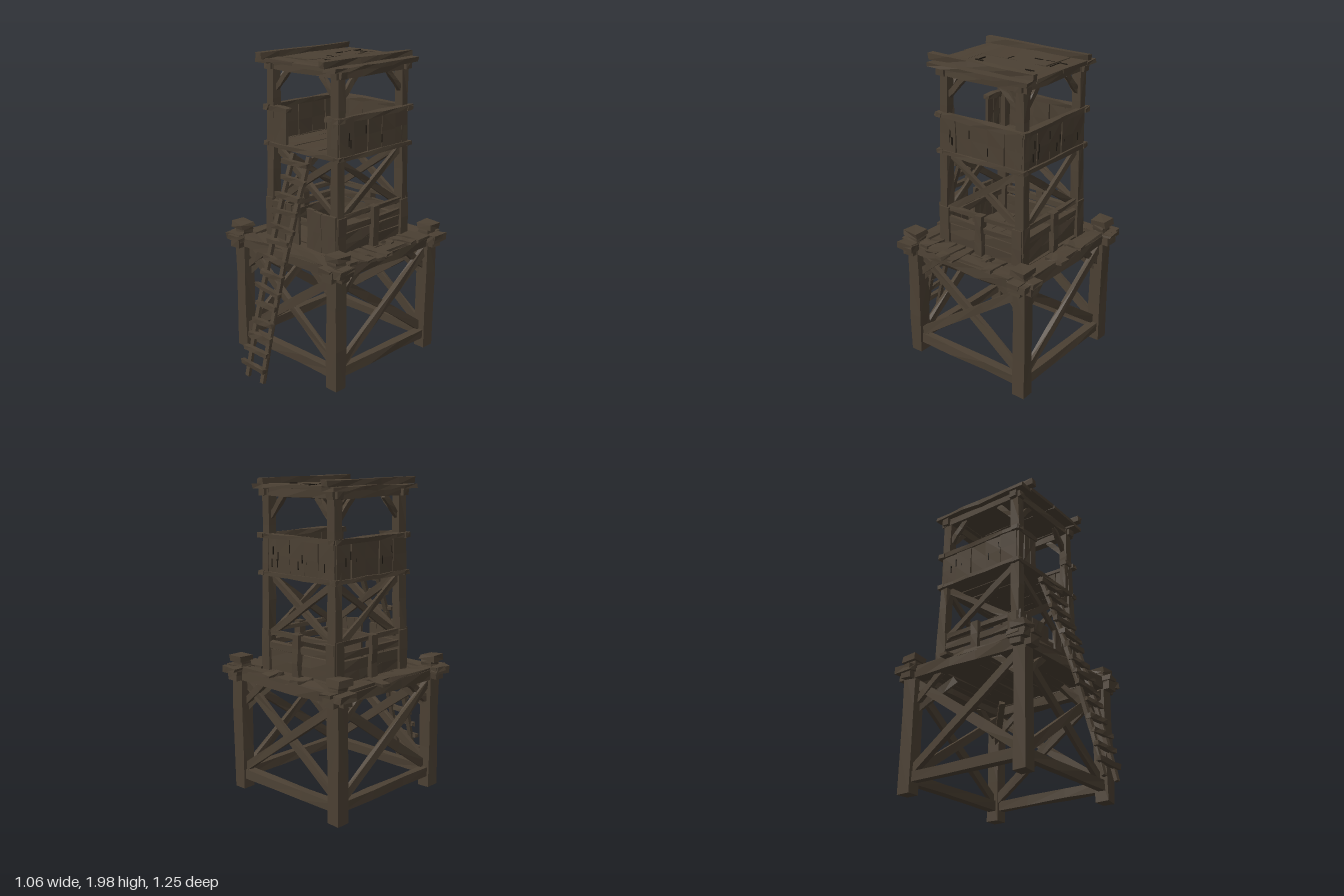
import * as THREE from 'three';

const CZ = -0.11; // centre of the lower frame in z
const TZ = -0.125; // centre of the upper tower in z

export function createModel() {
  const root = new THREE.Group();
  root.name = 'watchtower';
  const wood = new THREE.MeshStandardMaterial({ color: 0x4b4033, flatShading: true });
  wood.name = 'weathered wood';
  const crackMat = new THREE.MeshStandardMaterial({ color: 0x1f1a13, flatShading: true });
  crackMat.name = 'dark crack';

  let seed = 7;
  const rnd = () => (seed = (seed * 16807) % 2147483647) / 2147483647;
  const jit = (s) => (rnd() - 0.5) * 2 * s;
  const V = (x, y, z) => new THREE.Vector3(x, y, z);

  // Rough-hewn timber from a to b; each cross-section is nudged a little
  function beam(name, a, b, w, h, rough = 0.004, segs = 3) {
    const d = b.clone().sub(a);
    const g = new THREE.BoxGeometry(w, h, d.length(), 1, 1, segs);
    const p = g.attributes.position;
    const moved = new Map();
    for (let i = 0; i < p.count; i++) {
      const key = [p.getX(i), p.getY(i), p.getZ(i)].map((n) => n.toFixed(4)).join();
      if (!moved.has(key)) moved.set(key, [jit(rough), jit(rough), jit(rough)]);
      const m = moved.get(key);
      p.setXYZ(i, p.getX(i) + m[0], p.getY(i) + m[1], p.getZ(i) + m[2]);
    }
    g.computeVertexNormals();
    const mesh = new THREE.Mesh(g, wood);
    mesh.name = name;
    mesh.position.copy(a).add(b).multiplyScalar(0.5);
    if (Math.abs(d.y) > 0.95 * d.length()) mesh.up.set(0, 0, 1);
    mesh.lookAt(b);
    root.add(mesh);
    return mesh;
  }

  // Point on one of four sides: u along the side, o outward from the centre
  const at = (k, u, y, o, cz) =>
    [V(u, y, cz + o), V(o, y, cz - u), V(-u, y, cz - o), V(-o, y, cz + u)][k];

  // Row of upright planks on one side with uneven tops
  function planks(name, k, u0, u1, y0, y1, o, cz, n) {
    const step = (u1 - u0) / n;
    for (let i = 0; i < n; i++) {
      const u = u0 + step * (i + 0.5);
      const off = o + jit(0.004);
      const across = k % 2 === 0;
      beam(name, at(k, u, y0, off, cz), at(k, u + jit(0.003), y1 + jit(0.008), off, cz),
        across ? step * 0.98 : 0.02, across ? 0.02 : step * 0.98, 0.003, 2);
    }
  }

  // Lower frame: posts, sills, cross braces and knee braces
  for (const sx of [-1, 1]) for (const sz of [-1, 1]) {
    const x = sx * 0.42, z = CZ + sz * 0.42;
    beam('basePost', V(x, 0.005, z), V(x, 0.8, z), 0.085, 0.085);
    beam('cornerPlate', V(x - 0.07 + sx * 0.03, 0.785, z + sz * 0.015), V(x + 0.07 + sx * 0.03, 0.785, z + sz * 0.015), 0.125, 0.045, 0.008);
    beam('capNeck', V(x, 0.79, z), V(x, 0.85, z), 0.08, 0.08);
    beam('capBlock', V(x + sx * 0.01, 0.845, z), V(x + sx * 0.01, 0.88, z), 0.105, 0.105, 0.007, 1);
    // Diagonal brace from the corner in under the deck
    beam('deckBrace', V(x, 0.52, z), V(sx * 0.24, 0.75, CZ + sz * 0.24), 0.04, 0.04);
  }
  for (let k = 0; k < 4; k++) {
    beam('sillBeam', at(k, -0.42, 0.105, 0.42, CZ), at(k, 0.42, 0.105, 0.42, CZ), 0.05, 0.06);
    beam('lowerCrossBrace', at(k, -0.4, 0.14, 0.425, CZ), at(k, 0.4, 0.71, 0.425, CZ), 0.03, 0.055);
    beam('lowerCrossBrace', at(k, 0.4, 0.14, 0.4, CZ), at(k, -0.4, 0.71, 0.4, CZ), 0.03, 0.055);
    beam('deckBeam', at(k, -0.5, 0.76, 0.42, CZ), at(k, 0.5, 0.76, 0.42, CZ), 0.08, 0.065, 0.006, 5);
    beam('deckEdge', at(k, -0.52, 0.797, 0.415, CZ), at(k, 0.52, 0.797, 0.415, CZ), 0.085, 0.025, 0.007, 6);
    for (const s of [-1, 1])
      beam('kneeBrace', at(k, s * 0.39, 0.59, 0.41, CZ), at(k, s * 0.21, 0.74, 0.41, CZ), 0.035, 0.04);
  }

  // Deck boards with gaps outside the tower on the left edge
  for (let i = 0; i < 10; i++) {
    const z = -0.485 + i * 0.083;
    beam('deckBoard', V(-0.44, 0.785 + jit(0.004), z), V(0.345, 0.785, z + jit(0.008)), 0.079, 0.02, 0.004);
  }
  for (const [z, w, end] of [[-0.41, 0.12, 0.49], [-0.3, 0.055, 0.49], [-0.22, 0.04, 0.4], [-0.045, 0.05, 0.52],
    [0.025, 0.055, 0.53], [0.105, 0.07, 0.52], [0.2, 0.07, 0.47]])
    beam('looseBoard', V(0.31, 0.8, z), V(end, 0.81, z + jit(0.01)), w, 0.02, 0.006);
  beam('looseBoard', V(-0.51, 0.8, -0.22), V(-0.35, 0.8, -0.21), 0.06, 0.022, 0.008);
  beam('looseBoard', V(0.105, 0.815, -0.61), V(0.105, 0.815, -0.49), 0.07, 0.022, 0.006);
  beam('looseBoard', V(-0.12, 0.81, -0.59), V(-0.12, 0.81, -0.46), 0.06, 0.022, 0.006);

  // Tower posts, leaning slightly inward
  for (const sx of [-1, 1]) for (const sz of [-1, 1])
    beam('towerPost', V(sx * 0.29, 0.79, TZ + sz * 0.295), V(sx * 0.275, 1.92, TZ + sz * 0.28), 0.06, 0.06, 0.005, 5);

  // Lower enclosure: boarded front, fenced sides and back
  planks('frontBoard', 0, -0.315, -0.01, 0.8, 1.05, 0.325, TZ, 5);
  planks('frontBoard', 0, 0.06, 0.315, 0.8, 1.05, 0.325, TZ, 4);
  beam('frontRail', V(-0.3, 0.95, TZ + 0.3), V(0.3, 0.95, TZ + 0.3), 0.025, 0.04);
  for (let k = 1; k < 4; k++) {
    for (const y of [0.835, 0.895])
      beam('fenceBoard', at(k, -0.29, y, 0.295, TZ), at(k, 0.29, y + jit(0.01), 0.295, TZ), 0.02, 0.066, 0.005);
    beam('fenceRail', at(k, -0.3, 0.96, 0.3, TZ), at(k, 0.3, 0.965, 0.3, TZ), 0.03, 0.04);
    beam('fenceTopRail', at(k, -0.3, 1.035, 0.295, TZ), at(k, 0.3, 1.04, 0.295, TZ), 0.03, 0.03);
    beam('fencePost', at(k, 0, 0.8, 0.315, TZ), at(k, 0, 1.06, 0.315, TZ), 0.05, 0.05);
    for (const s of [-1, 1])
      planks('cornerBoard', k, s * 0.285 - 0.035, s * 0.285 + 0.035, 0.8, 1.05, 0.315, TZ, 1);
  }

  // Middle cross braces, lookout rails, knee braces under the roof
  for (let k = 0; k < 4; k++) {
    beam('upperCrossBrace', at(k, -0.27, 1.02, 0.29, TZ), at(k, 0.27, 1.385, 0.285, TZ), 0.025, 0.04);
    beam('upperCrossBrace', at(k, 0.27, 1.02, 0.27, TZ), at(k, -0.27, 1.385, 0.27, TZ), 0.025, 0.04);
    beam('lookoutSill', at(k, -0.33, 1.405, 0.305, TZ), at(k, 0.33, 1.405, 0.305, TZ), 0.045, 0.028, 0.004, 5);
    if (k > 0) {
      planks('lookoutBoard', k, -0.305, 0.305, 1.41, 1.63, 0.305, TZ, 5);
      beam('lookoutRail', at(k, -0.335, 1.635, 0.305, TZ), at(k, 0.335, 1.635, 0.305, TZ), 0.045, 0.03, 0.005, 5);
    }
    beam('roofBeam', at(k, -0.33, 1.9, 0.285, TZ), at(k, 0.33, 1.9, 0.285, TZ), 0.05, 0.05);
    for (const s of [-1, 1])
      beam('roofBrace', at(k, s * 0.26, 1.75, 0.28, TZ), at(k, s * 0.14, 1.88, 0.28, TZ), 0.025, 0.032);
  }
  // Lookout front with the ladder opening
  planks('lookoutFrontBoard', 0, -0.305, -0.13, 1.41, 1.63, 0.305, TZ, 3);
  planks('lookoutFrontBoard', 0, 0.22, 0.305, 1.41, 1.63, 0.305, TZ, 2);
  beam('lookoutRail', at(0, -0.335, 1.635, 0.305, TZ), at(0, -0.12, 1.635, 0.305, TZ), 0.045, 0.03);
  beam('lookoutRail', at(0, 0.21, 1.635, 0.305, TZ), at(0, 0.335, 1.635, 0.305, TZ), 0.045, 0.03);
  for (let i = 0; i < 6; i++) {
    const x = -0.25 + i * 0.1;
    beam('lookoutFloor', V(x, 1.405, TZ - 0.3), V(x, 1.405, TZ + 0.3), 0.098, 0.022, 0.003);
  }

  // Roof sheets, edge boards and long rails
  for (const [z0, z1] of [[-0.48, -0.355], [-0.36, 0.115], [0.11, 0.255]])
    for (const s of [-1, 1])
      beam('roofSheet', V(s * 0.125, 1.937 + jit(0.003), z0), V(s * 0.125, 1.937, z1), 0.25, 0.022, 0.004, 4);
  for (const s of [-1, 1]) {
    beam('roofEdge', V(s * 0.295, 1.93, -0.48), V(s * 0.295, 1.93, 0.25), 0.1, 0.025, 0.005, 6);
    beam('roofRail', V(s * 0.27, 1.963, -0.48), V(s * 0.27, 1.963, 0.285), 0.045, 0.036, 0.005, 5);
  }

  // Leaning ladder, slightly bowed
  const path = new THREE.QuadraticBezierCurve3(V(0, 0.01, 0.6), V(0, 0.72, 0.44), V(0, 1.38, 0.19));
  for (const x of [-0.07, 0.07])
    for (let i = 0; i < 5; i++) {
      const a = path.getPoint(i / 5), b = path.getPoint((i + 1) / 5);
      beam('ladderRail', a.setX(x), b.setX(x), 0.03, 0.024, 0.002, 1);
    }
  for (let i = 0; i < 14; i++) {
    const p = path.getPoint(0.055 + i * 0.0695);
    beam('ladderRung', V(-0.1 + jit(0.025), p.y + jit(0.012), p.z + 0.018), V(0.1 + jit(0.01), p.y + jit(0.012), p.z + 0.018), 0.03, 0.028, 0.004);
  }

  // Dark splits on the roof and lookout walls
  function crack(pos, w, h, d) {
    const m = new THREE.Mesh(new THREE.BoxGeometry(w, h, d), crackMat);
    m.name = 'crack';
    m.position.copy(pos);
    root.add(m);
  }
  for (let i = 0; i < 9; i++)
    crack(V(jit(0.2), 1.949, TZ + jit(0.3)), i % 2 ? 0.06 : 0.006, 0.008, i % 2 ? 0.005 : 0.06);
  for (let i = 0; i < 6; i++)
    for (const s of [-1, 1]) {
      crack(V(s * 0.316, 1.52 + jit(0.05), TZ + jit(0.25)), 0.006, 0.05, 0.005);
      crack(V(jit(0.25), 1.52 + jit(0.05), TZ - 0.316), 0.005, 0.05, 0.006);
    }
  return root;
}
